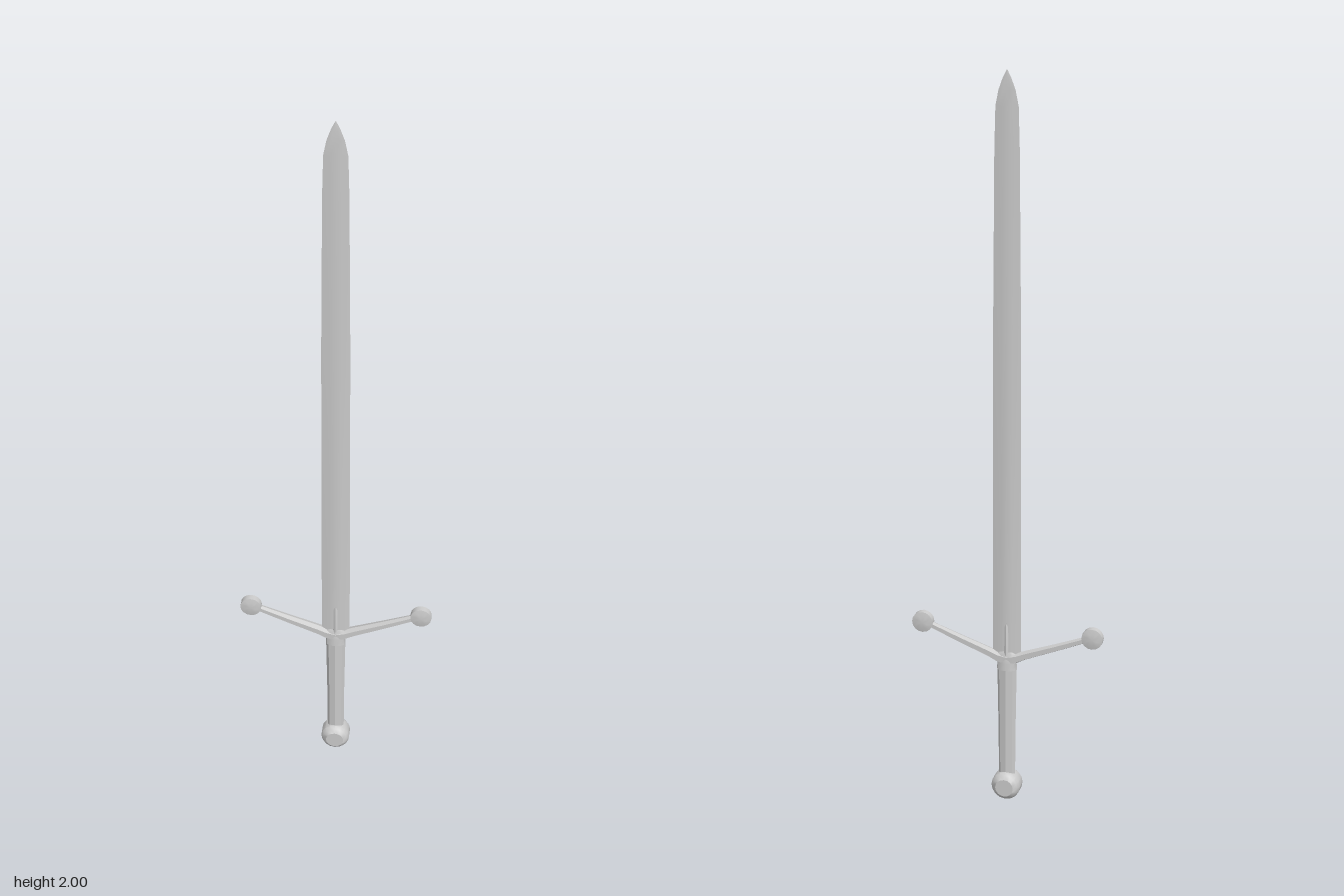
import * as THREE from 'three';
import { toCreasedNormals } from 'three/addons/utils/BufferGeometryUtils.js';

const material = new THREE.MeshStandardMaterial({ color: 0xcccccc });

// Skin a list of equal rings of points and cap both ends
function loft(rings, crease = 0.5) {
  const n = rings[0].length;
  const position = rings.flat(2);
  const index = [];
  for (let i = 0; i < rings.length - 1; i++) {
    for (let j = 0; j < n; j++) {
      const k = (j + 1) % n;
      const a = i * n + j, b = i * n + k, c = a + n, d = b + n;
      index.push(a, b, d, a, d, c);
    }
  }
  const last = (rings.length - 1) * n;
  for (let j = 1; j < n - 1; j++) {
    index.push(0, j + 1, j, last, last + j, last + j + 1);
  }
  const geometry = new THREE.BufferGeometry();
  geometry.setAttribute('position', new THREE.Float32BufferAttribute(position, 3));
  geometry.setIndex(index);
  return toCreasedNormals(geometry, crease);
}

// Upright loft: each level is [y, half width, half depth]
function column(levels, outline, crease) {
  return loft(levels.map(([y, w, d]) => outline.map(([x, z]) => [x * w, y, -z * d])), crease);
}

const ellipse = (n) => Array.from({ length: n }, (_, i) => {
  const a = (i / n) * Math.PI * 2;
  return [Math.cos(a), Math.sin(a)];
});

// Disc turned about the z axis from [radius, z] points
function disc(profile, sides) {
  const geometry = new THREE.LatheGeometry(profile.map(([r, z]) => new THREE.Vector2(r, z)), sides);
  geometry.rotateX(Math.PI / 2);
  return toCreasedNormals(geometry, 0.5);
}

export function createModel() {
  const model = new THREE.Group();
  const add = (name, geometry, x = 0, y = 0) => {
    const mesh = new THREE.Mesh(geometry, material);
    mesh.name = name;
    mesh.position.set(x, y, 0);
    model.add(mesh);
  };

  // Blade: sharp-edged lens section, tapering to a pointed tip
  const lens = [[1, 0], [0.4, 0.75], [0, 1], [-0.4, 0.75], [-1, 0], [-0.4, -0.75], [0, -1], [0.4, -0.75]];
  add('blade', column([
    [0.41, 0.039, 0.008], [0.8, 0.038, 0.007], [1.35, 0.037, 0.005], [1.8, 0.033, 0.004],
    [1.91, 0.03, 0.003], [1.95, 0.022, 0.003], [1.98, 0.011, 0.002], [2, 0.001, 0.0005],
  ], lens));

  // Langet: narrow tongue running up both faces of the blade
  add('langet', column([
    [0.4, 0.012, 0.016], [0.44, 0.008, 0.013], [0.51, 0.007, 0.01], [0.525, 0.004, 0.007],
  ], ellipse(8)));

  // Grip: faceted oval, slightly wider at the guard
  add('grip', column([
    [0.06, 0.023, 0.015], [0.2, 0.024, 0.016], [0.385, 0.027, 0.017],
  ], ellipse(8), 0.3));

  // Collar between grip and guard
  add('collar', column([
    [0.385, 0.028, 0.018], [0.405, 0.027, 0.017], [0.425, 0.034, 0.014], [0.437, 0.02, 0.01],
  ], ellipse(12)));

  // Guard: one ridged bar bent into a V, points are [x, y, half height, half depth]
  const arm = [
    [0, 0.414, 0.015, 0.015], [0.025, 0.419, 0.015, 0.014], [0.05, 0.43, 0.013, 0.013],
    [0.13, 0.46, 0.011, 0.011], [0.225, 0.497, 0.009, 0.008],
  ];
  const bar = [...arm.slice(1).reverse().map(([x, ...rest]) => [-x, ...rest]), ...arm];
  add('crossguard', loft(bar.map(([x, y, h, d]) =>
    [[1, 0], [0.6, 0.75], [-0.6, 0.75], [-1, 0], [-0.6, -0.75], [0.6, -0.75]]
      .map(([v, z]) => [x, y + v * h, z * d / 0.75])), 0.4));

  // Domed discs at the guard tips
  const tip = [[0, -0.013], [0.015, -0.012], [0.029, -0.009], [0.029, 0.009], [0.015, 0.012], [0, 0.013]];
  for (const side of [1, -1]) {
    add(side > 0 ? 'leftGuardKnob' : 'rightGuardKnob', disc(tip, 16), side * 0.236, 0.5);
  }

  // Pommel: thick wheel with bevelled faces
  add('pommel', disc([
    [0, -0.034], [0.025, -0.034], [0.035, -0.026], [0.04, -0.017],
    [0.04, 0.017], [0.035, 0.026], [0.025, 0.034], [0, 0.034],
  ], 16), 0, 0.04);

  return model;
}
